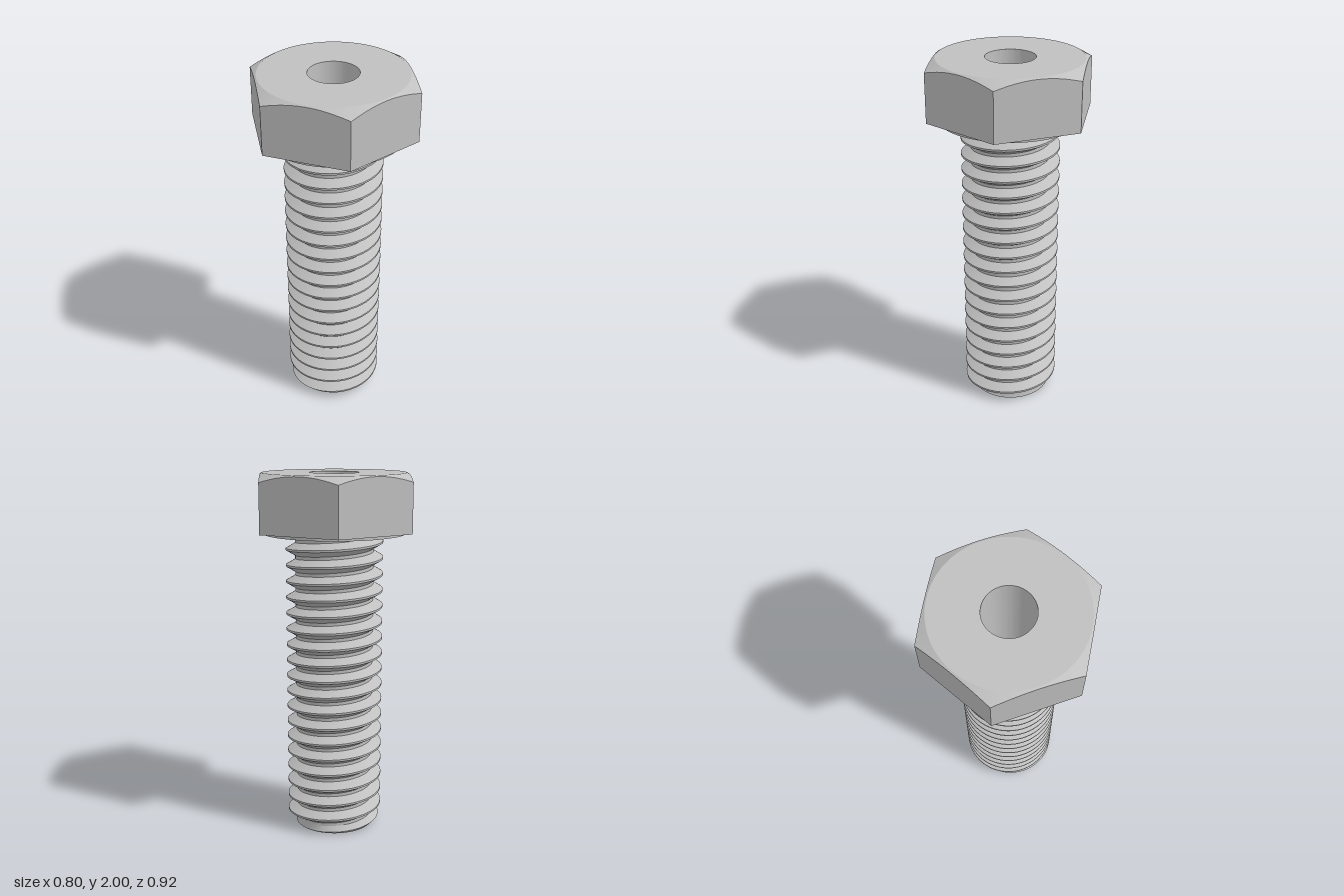
import * as THREE from 'three';
import { toCreasedNormals } from 'three/addons/utils/BufferGeometryUtils.js';

const SEGMENTS = 96;
const BORE = 0.134, ROOT = 0.215, CREST = 0.267;   // radii
const PITCH = 0.089, PHASE = 0.06;                 // thread spacing and start height
const SHANK_TOP = 1.675, HEAD_BASE = 1.69, TOP = 2;
const FLAT = 0.4, FACE = 0.39;                     // hexagon half width, round face radius

// Surface around the y axis: profile(angle) lists [radius, y] going up the outside.
function sweep(profile) {
  const position = [], index = [];
  let rows = 0;
  for (let i = 0; i <= SEGMENTS; i++) {
    const angle = (i / SEGMENTS) * Math.PI * 2;
    const points = profile(angle);
    rows = points.length;
    for (const [r, y] of points) position.push(r * Math.cos(angle), y, -r * Math.sin(angle));
  }
  const corner = (n) => new THREE.Vector3().fromArray(position, n * 3);
  const addFace = (a, b, c) => {
    const A = corner(a);
    const area = corner(b).sub(A).cross(corner(c).sub(A)).length();
    if (area > 1e-9) index.push(a, b, c);          // leave out collapsed faces
  };
  for (let i = 0; i < SEGMENTS; i++) {
    for (let j = 0; j < rows - 1; j++) {
      const a = i * rows + j, b = a + rows;
      addFace(a, b, b + 1);
      addFace(a, b + 1, a + 1);
    }
  }
  const geometry = new THREE.BufferGeometry();
  geometry.setAttribute('position', new THREE.Float32BufferAttribute(position, 3));
  geometry.setIndex(index);
  return toCreasedNormals(geometry, 0.4);
}

// Hexagonal head: washer face, flats and a conical chamfer on top
function headProfile(angle) {
  const sector = Math.PI / 3;
  const fromFlat = angle - Math.round(angle / sector) * sector;
  const r = FLAT / Math.cos(fromFlat);
  return [
    [ROOT - 0.02, SHANK_TOP], [FACE, SHANK_TOP], [FACE, HEAD_BASE], [r, HEAD_BASE],
    [r, TOP - (r - FACE) * Math.tan(Math.PI / 6)], [FACE, TOP], [BORE, TOP],
  ];
}

// Right-handed V thread, with a chamfered tip
function threadRadius(angle, y) {
  const turns = (y - PHASE) / PITCH - angle / (Math.PI * 2);
  const fromCrest = Math.abs(turns - Math.round(turns));
  const t = THREE.MathUtils.clamp((fromCrest - 0.06) / 0.34, 0, 1);
  return Math.min(THREE.MathUtils.lerp(CREST, ROOT, t), 0.22 + y);
}

function threadProfile(angle) {
  const points = [];
  const turns = Math.ceil(SHANK_TOP / PITCH) + 1;
  for (let k = -3; k <= turns; k++) {
    for (const part of [0.06, 0.4, 0.6, 0.94]) {
      const height = PHASE + PITCH * (k + part + angle / (Math.PI * 2));
      const y = THREE.MathUtils.clamp(height, 0, SHANK_TOP);
      points.push([threadRadius(angle, y), y]);
    }
  }
  return points;
}

export function createModel() {
  const model = new THREE.Group();
  model.name = 'hexBolt';
  const steel = new THREE.MeshStandardMaterial({ color: 0xc0c0c0 });
  steel.name = 'steel grey';

  const add = (name, geometry) => {
    const mesh = new THREE.Mesh(geometry, steel);
    mesh.name = name;
    model.add(mesh);
  };
  add('hexHead', sweep(headProfile));
  add('threadedShank', sweep(threadProfile));
  // Through hole and the flat ring at the tip
  add('boreAndTip', sweep(() => [[BORE, TOP], [BORE, 0], [0.218, 0]]));
  return model;
}
